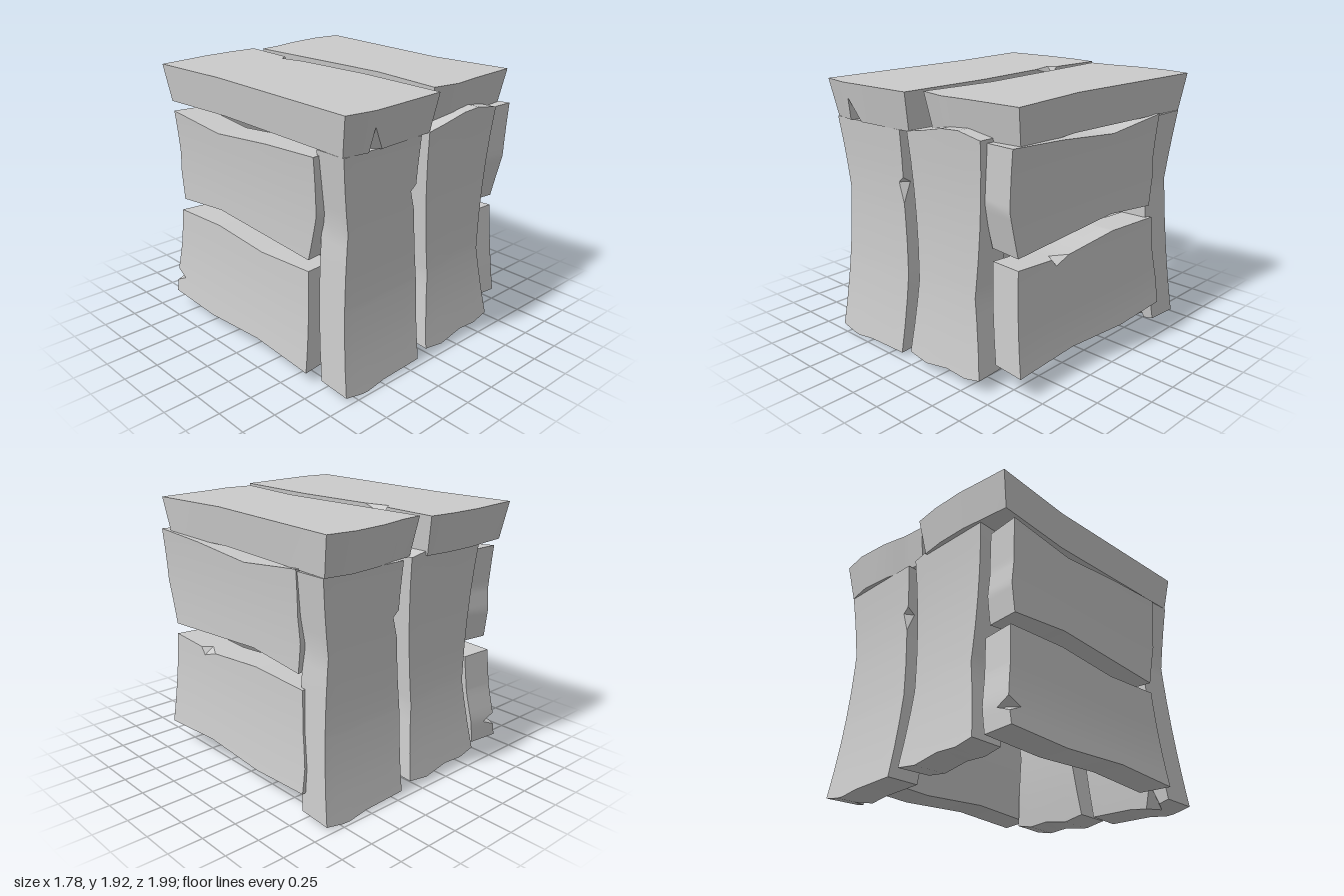
import * as THREE from 'three';
import { toCreasedNormals } from 'three/addons/utils/BufferGeometryUtils.js';

const material = new THREE.MeshStandardMaterial({ color: 0xcccccc });
const lerp = THREE.MathUtils.lerp;

// Value of a piecewise linear edge, given as [t, value] pairs
function edgeAt(edge, t) {
  let i = 1;
  while (i < edge.length - 1 && edge[i][0] < t) i++;
  const [t0, a] = edge[i - 1], [t1, b] = edge[i];
  return lerp(a, b, (t - t0) / (t1 - t0));
}

// Grid stations along two opposite edges, with chips kept as clean triangles
function stations(edgeA, edgeB, count, chips) {
  let ts = [...edgeA, ...edgeB].map(p => p[0]);
  for (let i = 1; i < count; i++) ts.push(i / count);
  for (const c of chips) {
    ts = ts.filter(t => t <= c.t - c.w[0] - 0.01 || t >= c.t + c.w[1] + 0.01);
    ts.push(c.t - c.w[0], c.t, c.t + c.w[1]);
  }
  ts.sort((a, b) => a - b);
  return ts.filter((t, i) => i === 0 || t - ts[i - 1] > 1e-4);
}

// A worn plank: four wavy edges, a bowed face towards +z, and triangular chips in its rim
function plankGeometry({ left, right, bottom, top, chips = [], shrink, thick, depth, dx = 0, dy = 0 }) {
  const onRows = c => c.side === 'left' || c.side === 'right';
  const us = stations(bottom, top, 6, chips.filter(c => !onRows(c)));
  const vs = stations(left, right, 8, chips.filter(onRows));
  const n = us.length - 1, m = vs.length - 1;
  const layers = [0, ...chips.map(c => c.f).sort((a, b) => a - b), 1];
  const last = layers.length - 1;

  const chipAt = (i, j, layer) => chips.find(c =>
    layer === (c.inner ? last : 0) &&
    ((c.side === 'left' && i === 0 && vs[j] === c.t) || (c.side === 'right' && i === n && vs[j] === c.t) ||
     (c.side === 'bottom' && j === 0 && us[i] === c.t) || (c.side === 'top' && j === m && us[i] === c.t)));

  function point(i, j, layer) {
    const u = us[i], v = vs[j], f = layers[layer];
    let x = lerp(edgeAt(left, v), edgeAt(right, v), u) + shrink[0] * f * (1 - 2 * u) + dx;
    let y = lerp(edgeAt(bottom, u), edgeAt(top, u), v) + shrink[1] * f * (1 - 2 * v) + dy;
    const c = chipAt(i, j, layer);
    if (c) {
      if (onRows(c)) x += c.side === 'left' ? c.inset : -c.inset;
      else y += c.side === 'bottom' ? c.inset : -c.inset;
    }
    return [x, y, depth(y) - thick * f];
  }

  const pos = [];
  const tri = (a, b, c) => pos.push(...a, ...b, ...c);
  // Outer and inner faces
  for (let i = 0; i < n; i++) for (let j = 0; j < m; j++) {
    for (const layer of [0, last]) {
      const a = point(i, j, layer), b = point(i + 1, j, layer);
      const c = point(i + 1, j + 1, layer), d = point(i, j + 1, layer);
      if (layer === 0) { tri(a, b, c); tri(a, c, d); } else { tri(a, c, b); tri(a, d, c); }
    }
  }
  // Rim, walked counter-clockwise
  const rim = [];
  for (let i = 0; i < n; i++) rim.push([i, 0]);
  for (let j = 0; j < m; j++) rim.push([n, j]);
  for (let i = n; i > 0; i--) rim.push([i, m]);
  for (let j = m; j > 0; j--) rim.push([0, j]);
  rim.forEach((p, k) => {
    const q = rim[(k + 1) % rim.length];
    for (let l = 0; l < last; l++) {
      const a = point(...p, l), b = point(...q, l), c = point(...q, l + 1), d = point(...p, l + 1);
      if (chipAt(...q, l) || chipAt(...p, l + 1)) { tri(a, d, c); tri(a, c, b); }
      else { tri(a, d, b); tri(b, d, c); }
    }
  });
  const geo = new THREE.BufferGeometry();
  geo.setAttribute('position', new THREE.Float32BufferAttribute(pos, 3));
  return toCreasedNormals(geo, 0.45);
}

// Mirror image of a plank across its local x
function mirrored(p) {
  const negate = e => e.map(([t, v]) => [t, -v]);
  const reverse = e => e.map(([t, v]) => [1 - t, v]).reverse();
  return { ...p, left: negate(p.right), right: negate(p.left), bottom: reverse(p.bottom), top: reverse(p.top) };
}

// Walls bow inwards at mid height
const bow = y => 0.08 * (y - 1.05) ** 2;
const wall = { shrink: [0.01, 0.005], thick: 0.25, depth: y => 0.885 + bow(y) };
const side = { shrink: [0.02, 0.005], thick: 0.24, depth: y => 0.82 + bow(y) };
const lid = { shrink: [0.03, 0.05], thick: 0.27, depth: () => 1.93 };

const uprightA = {
  ...wall,
  left: [[0, -0.83], [0.68, -0.745], [1, -0.81]],
  right: [[0, -0.14], [0.36, -0.115], [0.68, -0.145], [1, -0.13]],
  bottom: [[0, 0.04], [0.25, 0.005], [0.5, 0.03], [1, 0.04]],
  top: [[0, 1.66], [1, 1.66]],
  chips: [
    { side: 'right', t: 0.77, w: [0.09, 0.025], inset: 0.045, f: 0.25 },
    { side: 'bottom', t: 0.2, w: [0.08, 0.09], inset: 0.17, f: 0.6, inner: true },
  ],
};
const uprightB = {
  ...wall,
  left: [[0, -0.05], [0.34, 0], [1, -0.055]],
  right: [[0, 0.63], [0.34, 0.545], [1, 0.63]],
  bottom: [[0, 0.08], [0.25, 0.055], [0.55, 0.09], [0.8, 0.08], [1, 0.11]],
  top: [[0, 1.665], [0.2, 1.69], [0.5, 1.735], [0.72, 1.745], [1, 1.71]],
};
const lowerSide = {
  ...side,
  left: [[0, -0.83], [1, -0.79]],
  right: [[0, 0.74], [0.25, 0.74], [0.6, 0.70], [1, 0.68]],
  bottom: [[0, 0.17], [0.34, 0.2], [0.69, 0.165], [1, 0.185]],
  top: [[0, 0.89], [0.33, 0.86], [0.67, 0.9], [1, 0.88]],
};
const upperSide = {
  ...side,
  left: [[0, -0.79], [0.45, -0.87], [1, -0.875]],
  right: [[0, 0.64], [0.3, 0.665], [0.55, 0.65], [1, 0.665]],
  bottom: [[0, 0.97], [0.67, 1.03], [1, 0.98]],
  top: [[0, 1.69], [0.3, 1.665], [0.65, 1.615], [1, 1.67]],
};
const lidA = {
  ...lid,
  left: [[0, -0.84], [0.67, -0.81], [1, -0.85]],
  right: [[0, -0.015], [0.36, 0], [0.67, -0.04], [1, -0.005]],
  bottom: [[0, -0.955], [0.26, -0.99], [0.6, -0.975], [1, -0.955]],
  top: [[0, 0.96], [0.25, 0.98], [0.47, 1], [0.77, 1], [1, 0.98]],
  chips: [
    { side: 'right', t: 0.765, w: [0.095, 0.02], inset: 0.055, f: 0.2 },
    { side: 'bottom', t: 0.28, w: [0.04, 0.11], inset: 0.1, f: 0.4, inner: true },
  ],
};
const lidB = {
  ...lid,
  left: [[0, 0.05], [0.32, 0.11], [1, 0.04]],
  right: [[0, 0.86], [0.35, 0.8], [1, 0.875]],
  bottom: [[0, -0.85], [0.25, -0.885], [0.5, -0.86], [1, -0.83]],
  top: [[0, 0.92], [0.2, 0.935], [0.45, 0.98], [0.75, 1], [1, 0.97]],
};

export function createModel() {
  const group = new THREE.Group();
  const add = (name, spec, ry, rx = 0) => {
    const mesh = new THREE.Mesh(plankGeometry(spec), material);
    mesh.name = name;
    mesh.rotation.set(rx, ry, 0);
    group.add(mesh);
  };

  // Upright planks, front and back
  for (const [face, ry, dx] of [['front', 0, 0], ['back', Math.PI, -0.04]]) {
    add(face + 'WidePlank', { ...uprightA, dx }, ry);
    add(face + 'NarrowPlank', { ...uprightB, dx }, ry);
  }

  // Horizontal planks on the +x side
  const topChip = { side: 'top', t: 0.25, w: [0.03, 0.09], inset: 0.05, f: 0.3 };
  add('leftLowerPlank', { ...lowerSide, chips: [topChip] }, Math.PI / 2);
  add('leftUpperPlank', upperSide, Math.PI / 2);

  // Horizontal planks on the -x side, set back and lower
  const endChip = { side: 'left', t: 0.2, w: [0.07, 0.07], inset: 0.1, f: 0.45 };
  const offset = { dx: -0.19, dy: -0.07 };
  add('rightLowerPlank', { ...mirrored(lowerSide), ...offset, chips: [endChip] }, -Math.PI / 2);
  add('rightUpperPlank', { ...mirrored(upperSide), ...offset }, -Math.PI / 2);

  // Lid planks
  add('lidRightPlank', lidA, 0, -Math.PI / 2);
  add('lidLeftPlank', lidB, 0, -Math.PI / 2);
  return group;
}
